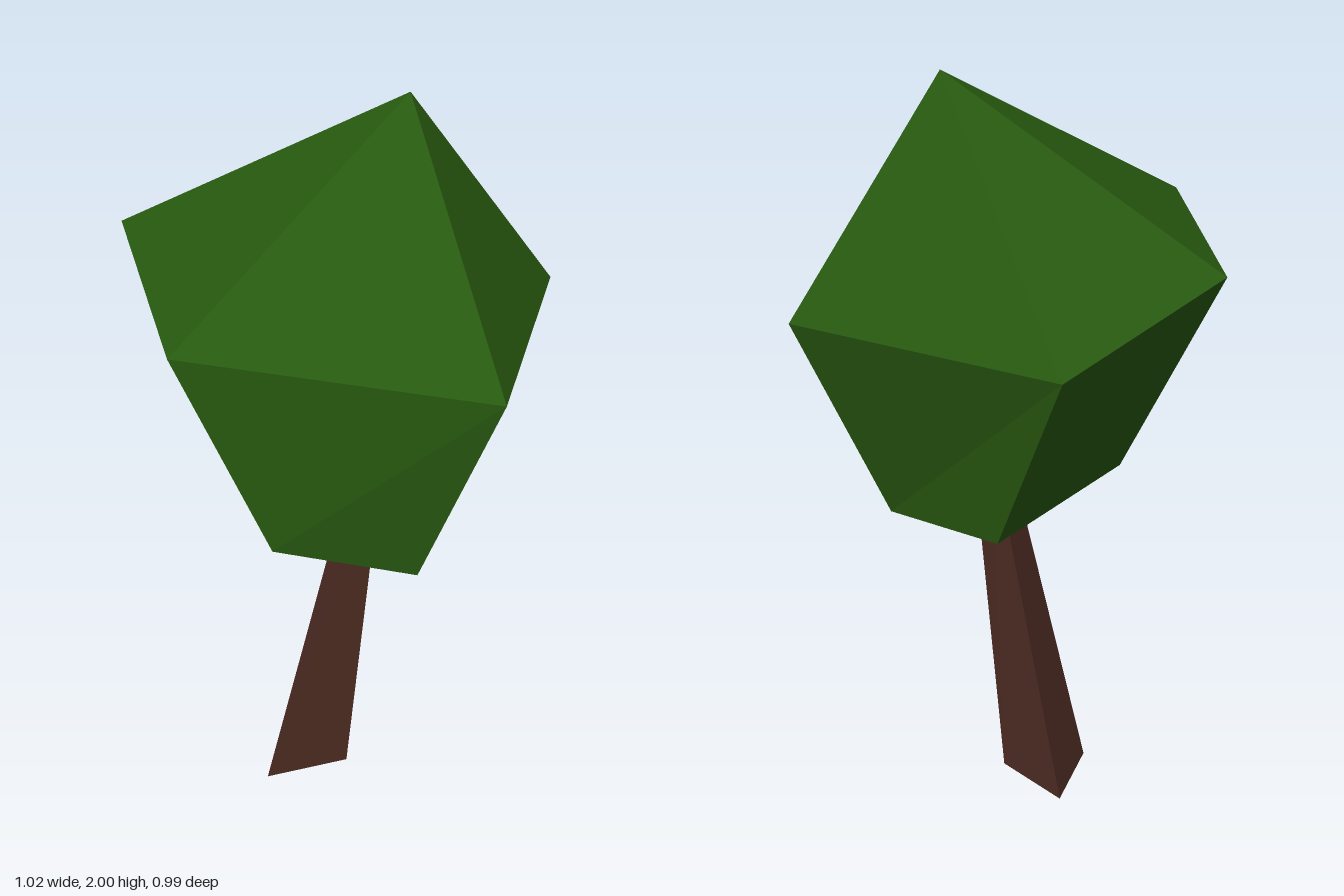
import * as THREE from 'three';

// Flat-sided solid through matching rings (bottom to top, counterclockwise from above), closed by a tip
function facetedSolid(rings, tip) {
  const pos = [];
  const tri = (a, b, c) => pos.push(...a, ...b, ...c);
  const n = rings[0].length;
  for (let r = 0; r < rings.length - 1; r++) {
    for (let i = 0; i < n; i++) {
      const j = (i + 1) % n;
      const lower = rings[r], upper = rings[r + 1];
      tri(lower[i], lower[j], upper[j]);
      tri(lower[i], upper[j], upper[i]);
    }
  }
  // bottom cap
  for (let i = 1; i < n - 1; i++) tri(rings[0][0], rings[0][i + 1], rings[0][i]);
  // top fan
  const last = rings[rings.length - 1];
  for (let i = 0; i < n; i++) tri(last[i], last[(i + 1) % n], tip);

  const geo = new THREE.BufferGeometry();
  geo.setAttribute('position', new THREE.Float32BufferAttribute(pos, 3));
  geo.computeVertexNormals();
  return geo;
}

export function createModel() {
  const leafGreen = new THREE.MeshStandardMaterial({ color: 0x285a10, flatShading: true });
  leafGreen.name = 'leaf green';
  const barkBrown = new THREE.MeshStandardMaterial({ color: 0x4e2d23, flatShading: true });
  barkBrown.name = 'bark brown';

  const tree = new THREE.Group();
  tree.name = 'tree';

  // leaning, tapered three-sided trunk, ending inside the crown
  const trunk = new THREE.Mesh(facetedSolid([
    [[-0.112, 0, 0.186], [0.078, 0, 0.074], [-0.112, 0, -0.038]],
    [[0.092, 1, 0.117], [0.163, 1, 0.071], [0.092, 1, 0.027]],
  ], [0.116, 1, 0.071]), barkBrown);
  trunk.name = 'trunk';
  tree.add(trunk);

  // tilted five-sided crown: narrow base, wide shoulder, pointed top
  const crown = new THREE.Mesh(facetedSolid([
    [[-0.24, 0.985, 0.035], [-0.03, 0.975, 0.42], [0.306, 0.892, 0.33], [0.306, 0.852, -0.135], [-0.03, 0.908, -0.305]],
    [[-0.51, 1.56, -0.03], [-0.25, 1.55, 0.492], [0.508, 1.455, 0.368], [0.508, 1.4, -0.262], [-0.247, 1.46, -0.494]],
  ], [0.192, 2, -0.04]), leafGreen);
  crown.name = 'crown';
  tree.add(crown);

  return tree;
}
